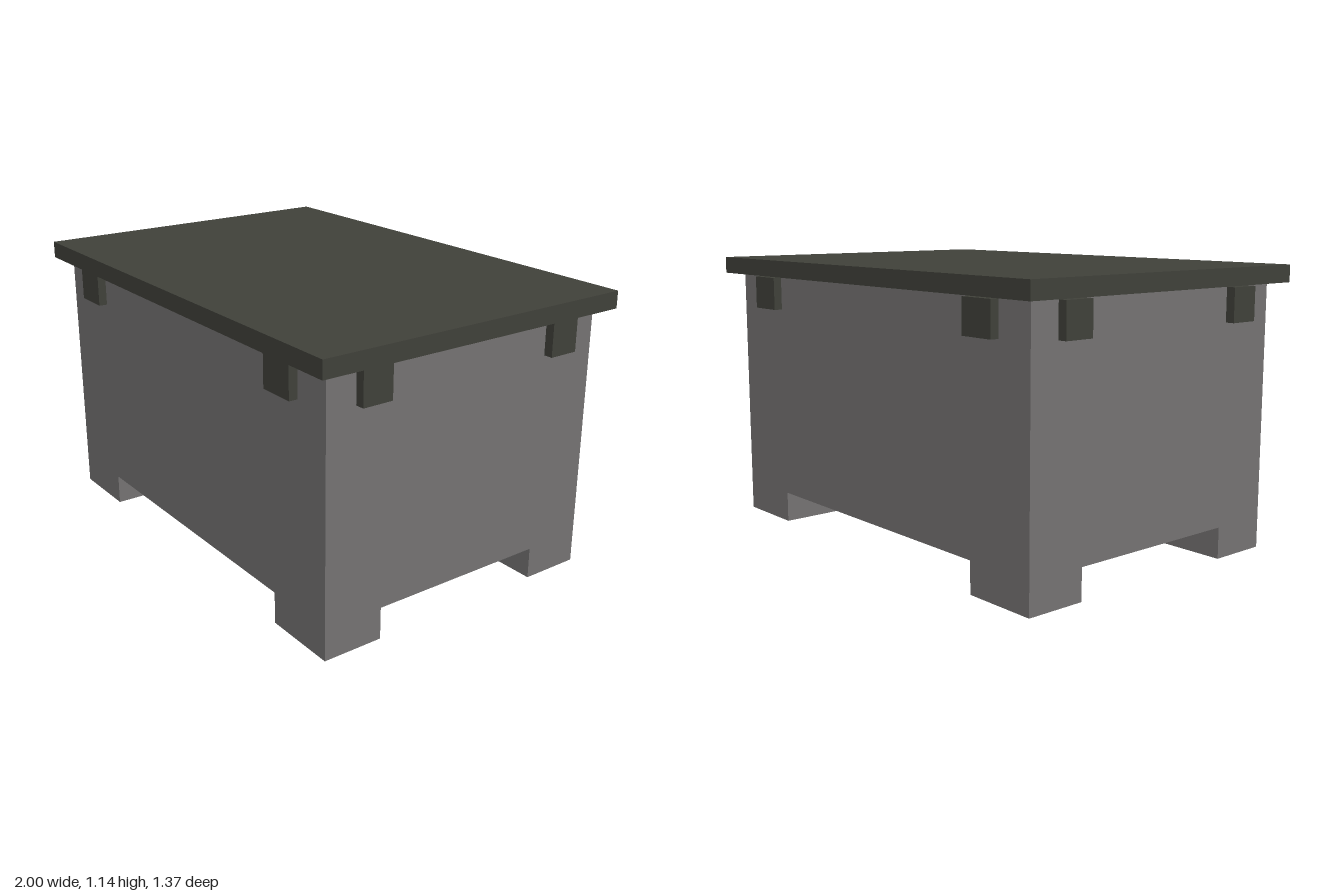
import * as THREE from 'three';

export function createModel() {
  const group = new THREE.Group();
  const stone = new THREE.MeshStandardMaterial({ color: 0x757373 });
  stone.name = 'grey body';
  const dark = new THREE.MeshStandardMaterial({ color: 0x40413a });
  dark.name = 'dark lid';

  // Box given by its lower and upper corners
  function box(name, material, [x0, y0, z0], [x1, y1, z1]) {
    const mesh = new THREE.Mesh(new THREE.BoxGeometry(x1 - x0, y1 - y0, z1 - z0), material);
    mesh.position.set((x0 + x1) / 2, (y0 + y1) / 2, (z0 + z1) / 2);
    mesh.name = name;
    group.add(mesh);
  }

  // Block mirrored into the four corners
  function corners(name, material, [x0, y0, z0], [x1, y1, z1]) {
    for (const sx of [-1, 1]) for (const sz of [-1, 1]) {
      const xs = [x0 * sx, x1 * sx].sort((a, b) => a - b);
      const zs = [z0 * sz, z1 * sz].sort((a, b) => a - b);
      const label = name + (sz > 0 ? 'Front' : 'Back') + (sx > 0 ? 'Left' : 'Right');
      box(label, material, [xs[0], y0, zs[0]], [xs[1], y1, zs[1]]);
    }
  }

  // Chest body on four corner feet
  box('body', stone, [-0.938, 0.127, -0.625], [0.938, 1.065, 0.625]);
  corners('foot', stone, [0.628, 0, 0.377], [0.938, 0.127, 0.625]);

  // Flat overhanging lid, just clear of the body
  box('lid', dark, [-1, 1.072, -0.685], [1, 1.141, 0.685]);

  // Small brackets under the lid: two on each wall
  corners('wallBracket', dark, [0.628, 0.93, 0.62], [0.78, 1.065, 0.66]);
  corners('sideBracket', dark, [0.93, 0.93, 0.377], [0.975, 1.065, 0.502]);

  return group;
}
